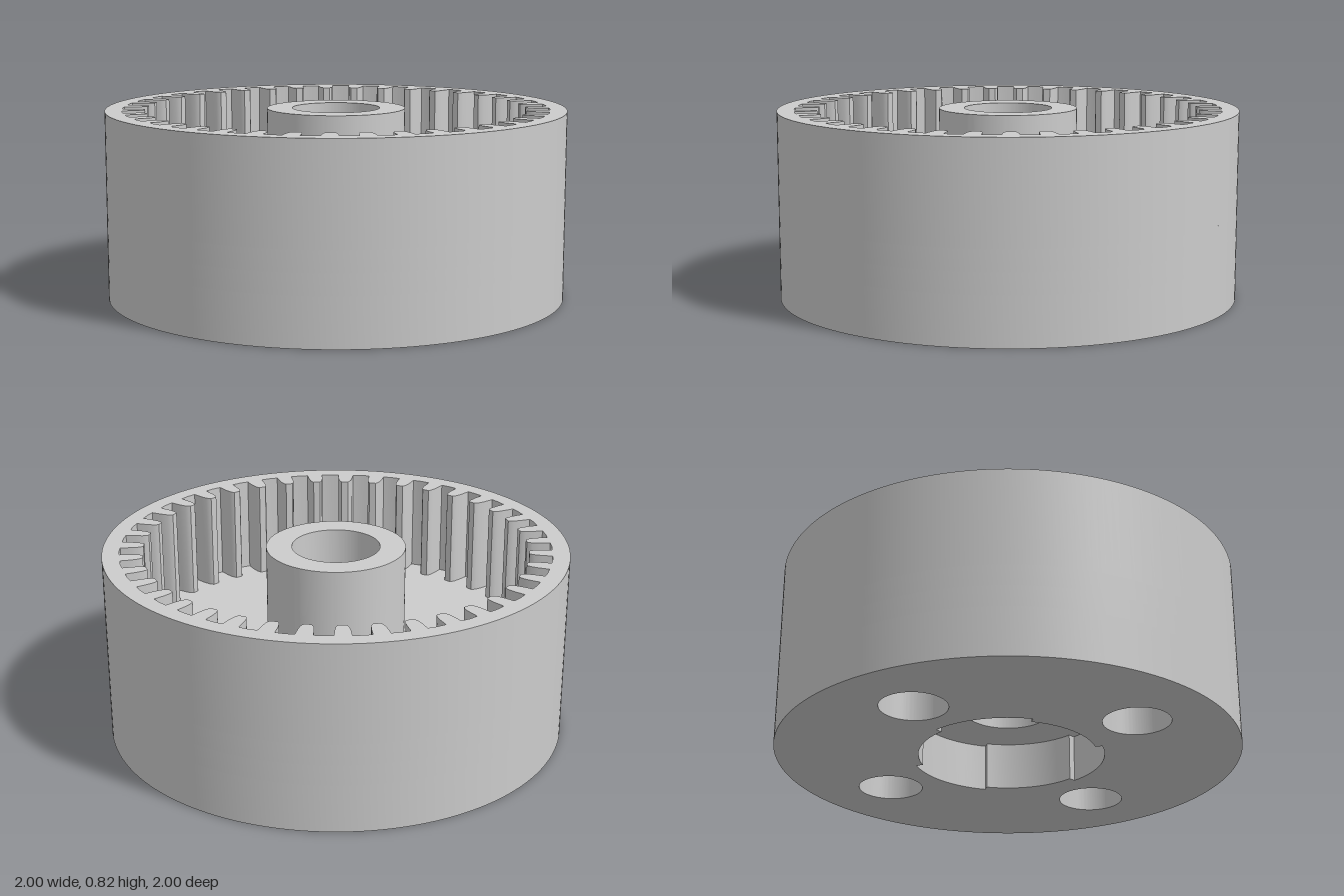
import * as THREE from 'three';
import { toCreasedNormals } from 'three/addons/utils/BufferGeometryUtils.js';

const HEIGHT = 0.82, FLOOR = 0.39, POCKET = 0.21, SCREW = 0.3;
const BORE_R = 0.19, HUB_R = 0.3, TEETH = 39;

const material = new THREE.MeshStandardMaterial({ color: 0xcccccc });

function circle(r, x = 0, y = 0, Type = THREE.Path) {
  return new Type().absarc(x, y, r, 0, Math.PI * 2, false);
}

const polar = (r, a) => new THREE.Vector2(r * Math.cos(a), r * Math.sin(a));

// Disc with holes, standing between two heights
function slab(name, radius, holes, y0, y1) {
  const shape = circle(radius, 0, 0, THREE.Shape);
  shape.holes.push(...holes);
  const geo = new THREE.ExtrudeGeometry(shape, { depth: y1 - y0, bevelEnabled: false, curveSegments: 96 });
  geo.rotateX(-Math.PI / 2);
  geo.translate(0, y0, 0);
  const mesh = new THREE.Mesh(toCreasedNormals(geo, 0.4), material);
  mesh.name = name;
  return mesh;
}

// Inward-pointing gear teeth: radius and half width from root to tip
function toothedOutline() {
  const flank = [[0.925, 0.035], [0.88, 0.032], [0.85, 0.027], [0.835, 0.021], [0.827, 0.015]];
  const pts = [];
  for (let i = 0; i < TEETH; i++) {
    const a = Math.PI / 2 + (i / TEETH) * Math.PI * 2;
    for (const [r, w] of flank) pts.push(polar(r, a - w / r));
    for (const [r, w] of [...flank].reverse()) pts.push(polar(r, a + w / r));
    pts.push(polar(0.927, a + Math.PI / TEETH));
  }
  return new THREE.Path(pts);
}

// Round pocket whose wall steps between two radii every sixth of a turn
function pocketOutline() {
  const pts = [], step = Math.PI / 3;
  for (let i = 0; i < 6; i++) {
    const start = Math.PI / 9 + i * step;
    const r = i % 2 ? 0.415 : 0.385;
    for (let k = 0; k <= 16; k++) pts.push(polar(r, start + (k / 16) * step));
  }
  return new THREE.Path(pts);
}

// Four blind holes on the underside
function screwHoles() {
  return [0, 1, 2, 3].map((i) => {
    const p = polar(0.65, (i * Math.PI) / 2);
    return circle(0.142, p.x, p.y);
  });
}

export function createModel() {
  const group = new THREE.Group();
  group.name = 'ringGear';
  group.add(
    slab('basePocketLayer', 1, [pocketOutline(), ...screwHoles()], 0, POCKET),
    slab('baseMiddleLayer', 1, [circle(BORE_R), ...screwHoles()], POCKET, SCREW),
    slab('gearFloor', 1, [circle(BORE_R)], SCREW, FLOOR),
    slab('toothedRing', 1, [toothedOutline()], FLOOR, HEIGHT),
    slab('hub', HUB_R, [circle(BORE_R)], FLOOR, HEIGHT),
  );
  return group;
}
